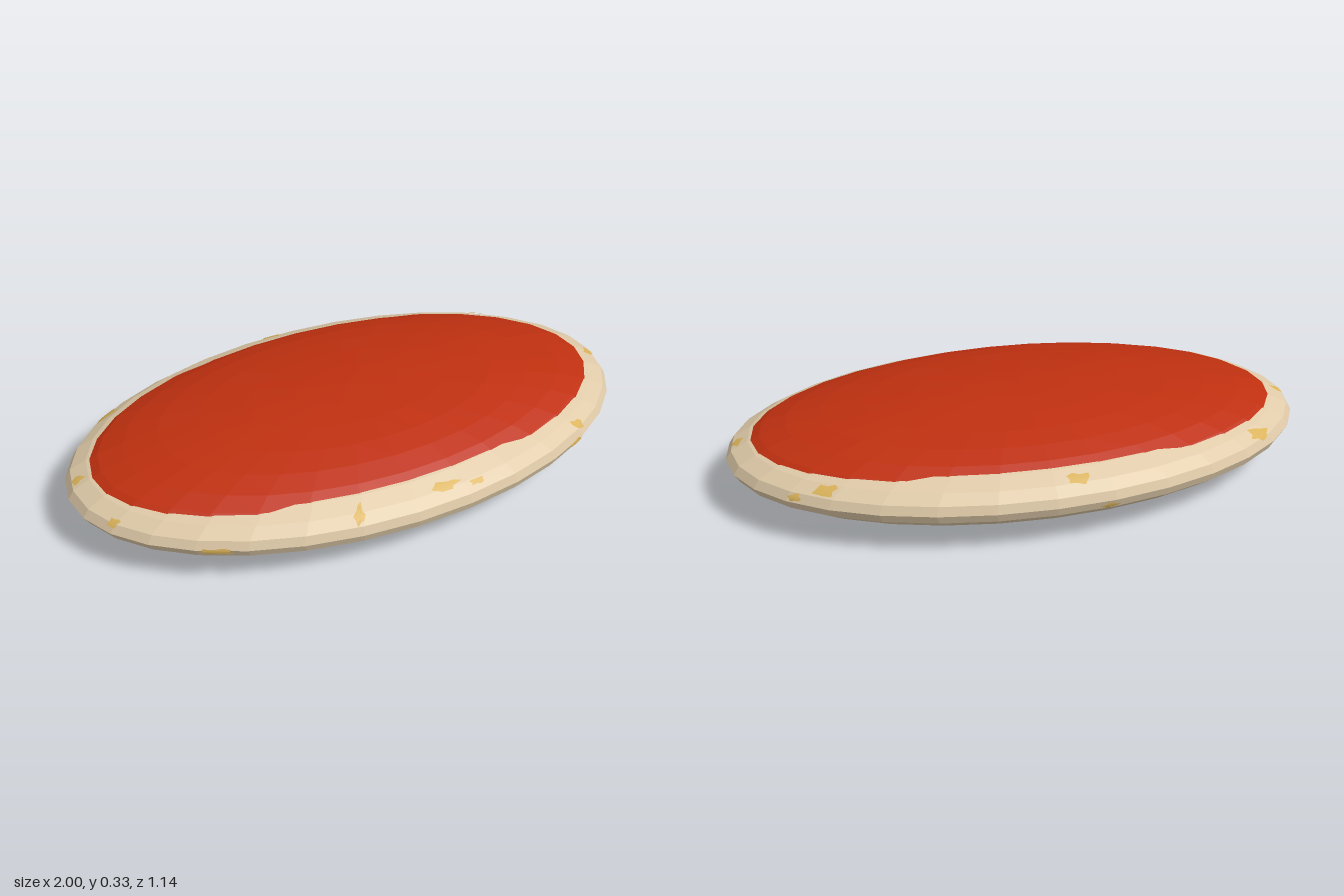
import * as THREE from 'three';

const CENTER_Y = 0.155;
const BODY = [1, 0.155, 0.57];
const CAP = [0.957, 0.15, 0.527];
const rad = THREE.MathUtils.degToRad;

// Point on the rim ellipsoid, u = degrees from +x towards +z, v = degrees above the equator
function onBody(u, v, lift) {
  const a = rad(u), b = rad(v);
  return [
    Math.cos(b) * Math.cos(a) * BODY[0] * lift,
    Math.sin(b) * BODY[1] * lift,
    Math.cos(b) * Math.sin(a) * BODY[2] * lift,
  ];
}

// Irregular thin patch that follows the body surface
function speckGeometry([u, v, du, dv], seed) {
  const sides = 10, lift = 1.003, pos = [];
  const at = (i, r) => {
    const k = i % sides, t = (k / sides) * Math.PI * 2;
    const w = r * (0.85 + 0.25 * Math.sin(k * 2.3 + seed * 1.7));
    return onBody(u + Math.cos(t) * du * w, v + Math.sin(t) * dv * w, lift);
  };
  for (let i = 0; i < sides; i++) {
    const a = at(i, 0.5), b = at(i + 1, 0.5), c = at(i, 1), d = at(i + 1, 1);
    pos.push(...onBody(u, v, lift), ...b, ...a, ...a, ...b, ...d, ...a, ...d, ...c);
  }
  const g = new THREE.BufferGeometry();
  g.setAttribute('position', new THREE.Float32BufferAttribute(pos, 3));
  g.computeVertexNormals();
  return g;
}

export function createModel() {
  const cream = new THREE.MeshStandardMaterial({ color: 0xdfcaa8, flatShading: true });
  cream.name = 'cream';
  const red = new THREE.MeshStandardMaterial({ color: 0xbf3010, flatShading: true });
  red.name = 'red';
  const mustard = new THREE.MeshStandardMaterial({ color: 0xd9b25a, flatShading: true });
  mustard.name = 'mustard';

  const group = new THREE.Group();
  const ellipsoid = (name, radii, y, material) => {
    const mesh = new THREE.Mesh(new THREE.SphereGeometry(1, 32, 16), material);
    mesh.geometry.scale(...radii);
    mesh.position.y = y;
    mesh.name = name;
    group.add(mesh);
  };

  // Flattened body and the red cap sunk into its top
  ellipsoid('body', BODY, CENTER_Y, cream);
  ellipsoid('cap', CAP, 0.175, red);

  // Specks around the rim and underside: u, v, half width, half height in degrees
  const specks = [
    [130, 0, 4, 5], [102, 21, 1.2, 9], [83, 25, 4, 4], [76, 20, 2, 3], [48, 1, 2.5, 4],
    [115, -38, 4, 7], [44, 15, 2, 6], [158, 12, 2, 5], [183, 17, 2, 5], [217, 16, 4, 7],
    [265, 26, 3, 5], [318, 18, 3, 6], [324, 7, 2, 5], [3, 17, 3, 4], [13, -1, 3, 3],
    [348, -24, 2, 3], [260, -6, 2, 4], [20, -10, 3, 4], [125, -52, 2, 2],
    [138, -46, 2.5, 2], [150, -42, 2, 2.5], [163, -40, 2, 2], [60, -40, 2, 2],
  ];
  const specksGroup = new THREE.Group();
  specksGroup.name = 'specks';
  specksGroup.position.y = CENTER_Y;
  specks.forEach((s, i) => {
    const mesh = new THREE.Mesh(speckGeometry(s, i), mustard);
    mesh.name = 'speck';
    specksGroup.add(mesh);
  });
  group.add(specksGroup);
  return group;
}
